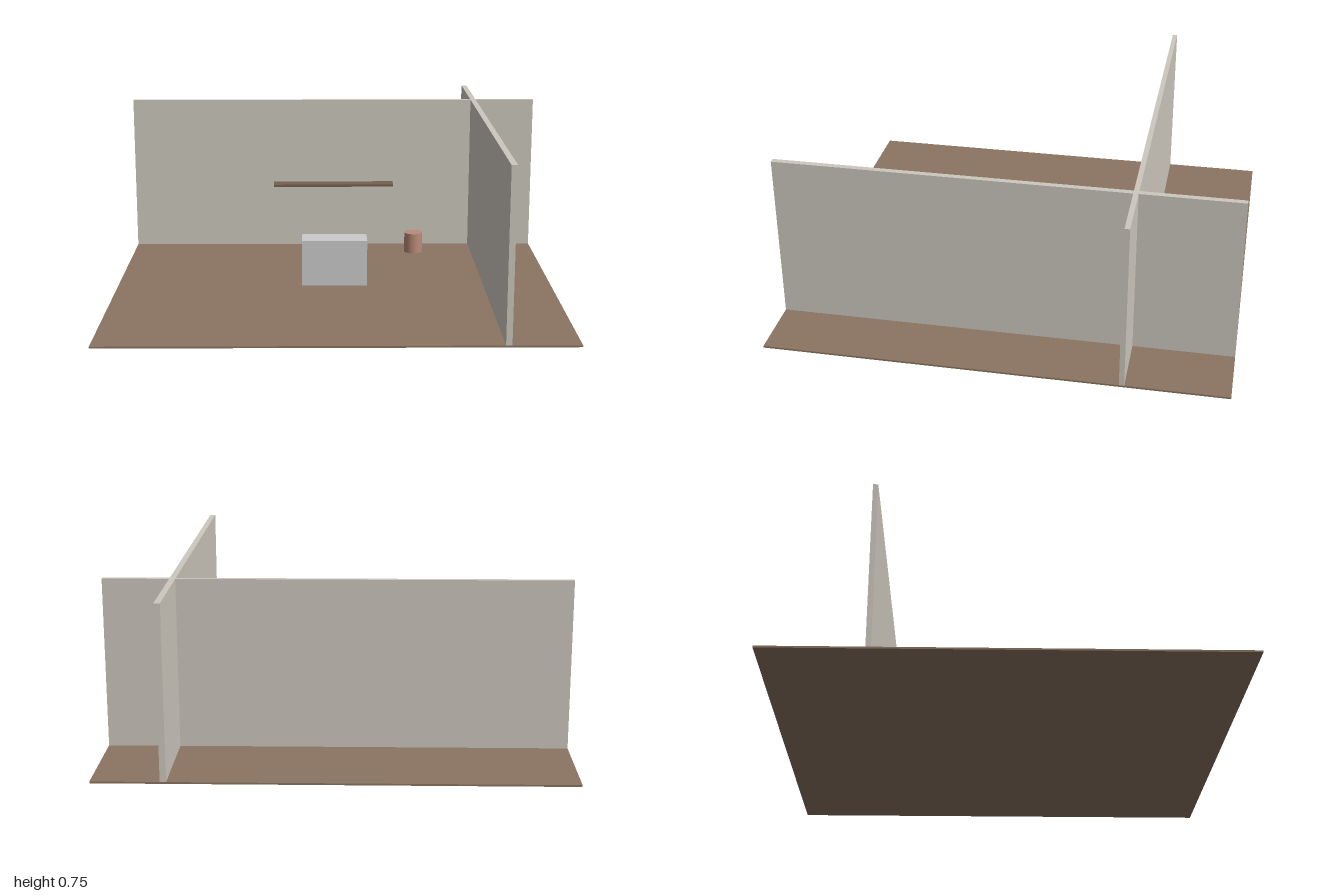
import * as THREE from 'three';

const FLOOR = 0.008;

function add(group, name, geometry, color, x, y, z) {
  const mesh = new THREE.Mesh(geometry, new THREE.MeshStandardMaterial({ color }));
  mesh.name = name;
  mesh.position.set(x, y, z);
  group.add(mesh);
  return mesh;
}

// Box given by its footprint centre, its bottom height and its size
function box(group, name, color, [x, bottom, z], [w, h, d]) {
  return add(group, name, new THREE.BoxGeometry(w, h, d), color, x, bottom + h / 2, z);
}

export function createModel() {
  const room = new THREE.Group();
  room.name = 'room';
  const wall = 0xcdc8be;
  const wallHeight = 0.755 - FLOOR;

  // Floor slab
  box(room, 'floor', 0x8b7562, [0, 0, 0], [2, FLOOR, 2]);

  // Two full-length walls that cross near the back left corner
  box(room, 'backWall', wall, [0, FLOOR, -0.55], [2, wallHeight, 0.022]);
  box(room, 'sideWall', wall, [0.7, FLOOR, 0], [0.026, wallHeight, 2]);

  // Shelf fixed to the back wall
  box(room, 'shelf', 0x75614f, [0, 0.326, -0.502], [0.6, 0.011, 0.075]);

  // Free-standing block
  box(room, 'block', 0xcccccc, [0, FLOOR, 0.12], [0.3, 0.222 - FLOOR, 0.12]);

  // Round pot
  const potHeight = 0.107 - FLOOR;
  add(room, 'pot', new THREE.CylinderGeometry(0.045, 0.045, potHeight, 32), 0xba8b7a,
    0.4, FLOOR + potHeight / 2, -0.4);

  return room;
}
